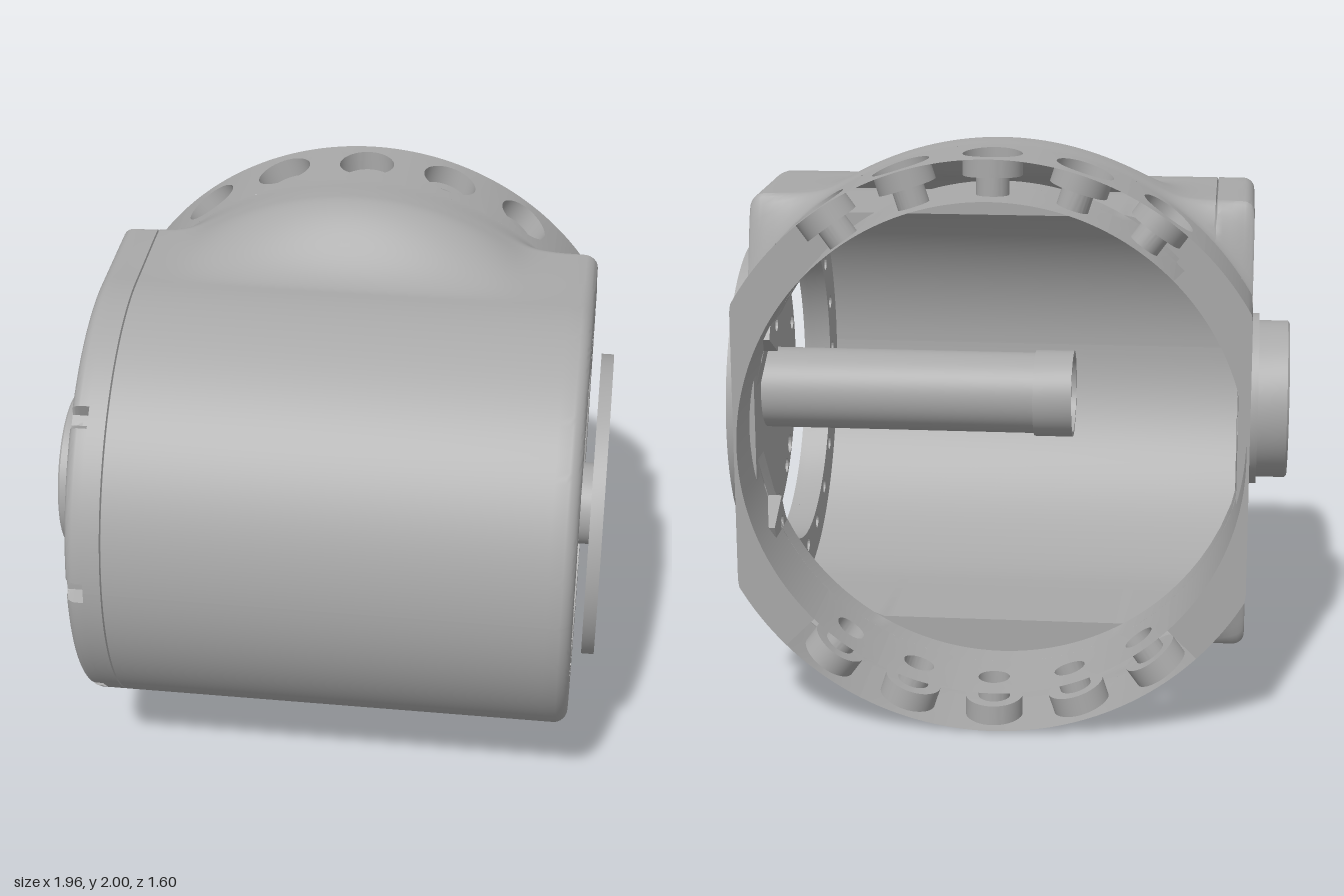
import * as THREE from 'three';
import { toCreasedNormals } from 'three/addons/utils/BufferGeometryUtils.js';

const X0 = -0.84, X1 = 0.9, CX = 0.03;      // end faces and flange centre
const HALF = 0.87, BORE = 0.86, RAD = Math.PI / 180;
const mix = (a, b, t) => a + (b - a) * t;
const smooth = (a, b, v) => THREE.MathUtils.smoothstep((v - a) / (b - a), 0, 1);

// Surface from a rule f(i, j) over a grid of (nu + 1) x (nv + 1) points
function grid(nu, nv, f, crease = 0.6) {
  const pos = [], idx = [];
  for (let j = 0; j <= nv; j++) for (let i = 0; i <= nu; i++) pos.push(...f(i, j));
  for (let j = 0; j < nv; j++) for (let i = 0; i < nu; i++) {
    const a = j * (nu + 1) + i, b = a + 1, c = a + nu + 1, d = c + 1;
    idx.push(a, b, d, a, d, c);
  }
  const g = new THREE.BufferGeometry();
  g.setAttribute('position', new THREE.Float32BufferAttribute(pos, 3));
  g.setIndex(idx);
  return toCreasedNormals(g, crease);
}

// Rounded ends, seam groove and edge notches of the drum
function inset(x, theta) {
  let e = 0;
  for (const [dist, r] of [[X1 - x, 0.05], [x - X0, 0.04]]) {
    const d = Math.max(0, r - dist);
    e += r - Math.sqrt(Math.max(0, r * r - d * d));
  }
  if (Math.abs(x + 0.71) < 0.001) e += 0.01;
  const notch = [45, 90].some(a => Math.abs(theta / RAD - a) < 2.2);
  return x < -0.775 && notch ? Math.max(e, 0.05) : e;
}

// Outer half height and depth: a round front, a flat middle, then a blend into the flange
const ARC = 64, FLAT = 40;
function outer(x, j) {
  if (j <= ARC) {
    const th = (1 - j / ARC) * Math.PI / 2, r = 0.8 - inset(x, th);
    return [r * Math.cos(th), r * Math.sin(th)];
  }
  const z = -0.5 * (j - ARC) / FLAT;
  const c = Math.sqrt(1 - (x - CX) ** 2), d = c - 0.8;
  const bump = 0.5 * (d + Math.sqrt(d * d + 0.002)) * smooth(0, -0.36, z);
  return [mix(0.8 - inset(x, 0) + bump, c, smooth(-0.4, -0.5, z)), z];
}

// Inner half height and depth: round pocket stepping out to the rear bore
function inner(x, j) {
  if (j <= 32) {
    const th = (1 - j / 32) * Math.PI / 2;
    return [0.74 * Math.cos(th), 0.74 * Math.sin(th)];
  }
  const bore = Math.sqrt(Math.max(0, BORE ** 2 - (x - CX) ** 2));
  return [[0.74, -0.4], [bore, -0.4], [bore, -0.5]][j - 33];
}

// Flange piece with a counterbored radial hole
function holeCell(angle) {
  const hw = 9 * RAD, hz = 0.15, n = 48;
  // square-to-circle blend, hole radius, distance from the flange axis
  const rings = [[0, 0.1, 1], [0.5, 0.1, 1], [1, 0.1, 1], [1, 0.1, 0.93], [1, 0.055, 0.93],
    [1, 0.055, BORE], [0.5, 0.055, BORE], [0, 0.055, BORE]];
  return grid(n, rings.length - 1, (i, j) => {
    const t = i / n * Math.PI * 2, c = Math.cos(t), s = Math.sin(t);
    const m = Math.max(Math.abs(c), Math.abs(s)), [k, r, R] = rings[j];
    const a = angle + mix(c / m * hw, c * r / R, k), z = -0.65 + mix(s / m * hz, s * r, k);
    return [CX + R * Math.sin(a), 1 + R * Math.cos(a), z];
  });
}

// Plain flange piece whose outside is cut flat at the ends
function sideCell(start) {
  const n = 60;
  return grid(n, 4, (i, j) => {
    const a = start + i / n * Math.PI / 2;
    const out = Math.min(1, HALF / Math.abs(Math.sin(a)));
    const [R, z] = [[out, -0.5], [out, -0.8], [BORE, -0.8], [BORE, -0.5], [out, -0.5]][j];
    return [CX + R * Math.sin(a), 1 + R * Math.cos(a), z];
  }, 0.4);
}

// Flat part drawn in (-z, y), extruded along x from x0 to x1
function plate(shape, x0, x1) {
  const g = new THREE.ExtrudeGeometry(shape, { depth: x1 - x0, bevelEnabled: false, curveSegments: 40 });
  g.rotateY(Math.PI / 2).translate(x0, 1, 0);
  return toCreasedNormals(g, 0.6);
}
function addHole(shape, u, v, r) {
  shape.holes.push(new THREE.Path().absarc(u, v, r, 0, Math.PI * 2, true));
}
function endShape(x) {
  const pts = [];
  for (let j = 0; j <= ARC + FLAT; j++) pts.push(outer(x, j));
  pts.push([pts[pts.length - 1][0], -0.58]);
  const top = pts.map(([h, z]) => new THREE.Vector2(-z, h));
  const low = pts.slice(1).reverse().map(([h, z]) => new THREE.Vector2(-z, -h));
  return new THREE.Shape([...top, ...low]);
}

// Turned part around the x axis, from [x, radius] points
function turned(points) {
  const g = new THREE.LatheGeometry(points.map(([x, r]) => new THREE.Vector2(r, x)), 64);
  g.rotateZ(-Math.PI / 2).translate(0, 1, 0);
  return toCreasedNormals(g, 0.6);
}

export function createModel() {
  const model = new THREE.Group();
  const metal = new THREE.MeshStandardMaterial({ color: 0xa8a8a8, side: THREE.DoubleSide });
  metal.name = 'grey metal';
  const add = (name, geometry) => {
    const mesh = new THREE.Mesh(geometry, metal);
    mesh.name = name;
    model.add(mesh);
  };

  // Drum shell, upper and lower halves, outside and inside
  const xs = [-0.775, -0.776, -0.713, -0.71, -0.707];
  for (let i = 0; i <= 8; i++) {
    const q = 1 - Math.cos(i / 8 * Math.PI / 2);
    xs.push(X0 + 0.04 * q, X1 - 0.05 * q);
  }
  for (let i = 1; i < 56; i++) xs.push(mix(-0.79, 0.84, i / 56));
  xs.sort((a, b) => a - b);
  for (const [side, s] of [['upper', 1], ['lower', -1]]) {
    add(side + 'Shell', grid(xs.length - 1, ARC + FLAT, (i, j) => {
      const [h, z] = outer(xs[i], j);
      return [xs[i], 1 + s * h, z];
    }));
    add(side + 'Lining', grid(48, 35, (i, j) => {
      const x = mix(-0.82, 0.88, i / 48), [h, z] = inner(x, j);
      return [x, 1 + s * h, z];
    }));
  }

  // Rear mounting flange
  for (const base of [0, 180]) {
    for (let k = -2; k <= 2; k++) add('flangeHoleSegment', holeCell((base + k * 18) * RAD));
    add('flangeSide', sideCell((base + 45) * RAD));
  }

  // Left end wall with its ring of counterbored bolt holes
  const wall = endShape(X1);
  addHole(wall, 0, 0, 0.56);
  const ring = new THREE.Shape();
  ring.absarc(0, 0, 0.72, 28 * RAD, 332 * RAD, false);
  ring.absarc(0, 0, 0.56, 332 * RAD, 28 * RAD, true);
  for (let k = 2; k <= 18; k++) {
    const u = 0.615 * Math.cos(k * 18 * RAD), v = 0.615 * Math.sin(k * 18 * RAD);
    addHole(wall, u, v, 0.04);
    addHole(ring, u, v, 0.025);
  }
  add('leftWall', plate(wall, 0.87, X1));
  add('boltRing', plate(ring, 0.8, 0.87));

  // Right end cap and its hollow boss
  const cap = endShape(X0);
  addHole(cap, 0, 0, 0.24);
  for (const s of [1, -1]) addHole(cap, 0.44, s * 0.55, 0.03);
  add('rightCap', plate(cap, X0, -0.8));
  add('boss', turned([[-0.8, 0.24], [-0.95, 0.24], [-0.95, 0.25], [-0.98, 0.25], [-0.98, 0.278],
    [-0.973, 0.285], [-0.87, 0.285], [-0.87, 0.31], [-0.84, 0.31]]));

  // Output disc with holes, and the hollow shaft behind it
  const disc = new THREE.Shape().absarc(0, 0, 0.545, 0, Math.PI * 2, false);
  addHole(disc, 0, 0, 0.148);
  for (let q = 0; q < 4; q++) for (const a of [15, 37.5, 48.7, 60, 82.5]) {
    const t = (180 - a - q * 90) * RAD;
    addHole(disc, 0.503 * Math.cos(t), 0.503 * Math.sin(t), a === 48.7 ? 0.036 : 0.028);
  }
  add('outputDisc', plate(disc, 0.935, 0.98));
  add('hollowShaft', turned([[0.98, 0.142], [-0.2, 0.142], [-0.2, 0.158], [-0.06, 0.158],
    [-0.06, 0.148], [0.98, 0.148]]));
  return model;
}
